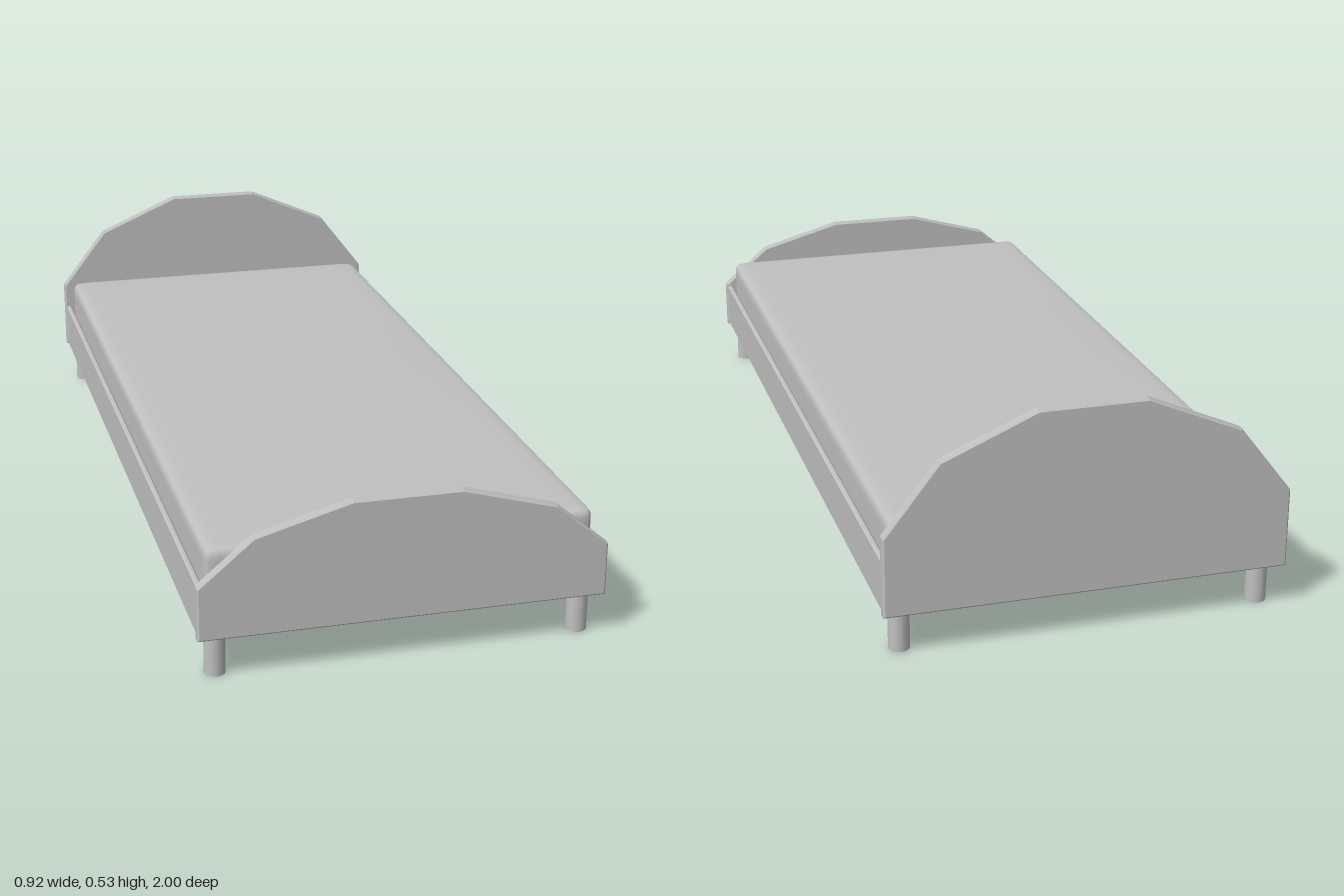
import * as THREE from 'three';
import { mergeVertices, toCreasedNormals } from 'three/addons/utils/BufferGeometryUtils.js';

const grey = new THREE.MeshStandardMaterial({ color: 0xc0c0c0 });
grey.name = 'grey';

function add(group, name, geometry, x = 0, y = 0, z = 0) {
  const mesh = new THREE.Mesh(geometry, grey);
  mesh.name = name;
  mesh.position.set(x, y, z);
  group.add(mesh);
  return mesh;
}

// Faceted arched panel with a small chamfer; half outline mirrored in x
function panelGeometry(half, depth) {
  const bevel = 0.004;
  const points = [...half, ...half.map(([x, y]) => [-x, y]).reverse()]
    .map(([x, y]) => new THREE.Vector2(x, y));
  const geometry = new THREE.ExtrudeGeometry(new THREE.Shape(points), {
    depth: depth - 2 * bevel, bevelEnabled: true, bevelSegments: 1,
    bevelSize: bevel, bevelThickness: bevel, bevelOffset: -bevel,
  });
  geometry.translate(0, 0, bevel);
  return toCreasedNormals(geometry, 0.1);
}

// Side board with chamfered long edges, extruded along z
function railGeometry(width, height, length) {
  const w = width / 2, h = height / 2, c = 0.004;
  const shape = new THREE.Shape([
    [w, -h + c], [w, h - c], [w - c, h], [-w + c, h],
    [-w, h - c], [-w, -h + c], [-w + c, -h], [w - c, -h],
  ].map(([x, y]) => new THREE.Vector2(x, y)));
  const geometry = new THREE.ExtrudeGeometry(shape, { depth: length, bevelEnabled: false });
  return geometry.translate(0, 0, -length / 2);
}

// Soft block: rounded edges and a gently domed top
function mattressGeometry(width, height, length, radius) {
  let geometry = new THREE.BoxGeometry(2, 2, 2, 20, 16, 28);
  geometry.deleteAttribute('normal');
  geometry.deleteAttribute('uv');
  geometry = mergeVertices(geometry);
  const half = new THREE.Vector3(width / 2, height / 2, length / 2);
  const inner = half.clone().subScalar(radius);
  const position = geometry.attributes.position;
  const p = new THREE.Vector3(), core = new THREE.Vector3();
  const crowd = (u) => Math.sign(u) * (1 - (1 - Math.abs(u)) ** 2.2);
  for (let i = 0; i < position.count; i++) {
    p.fromBufferAttribute(position, i);
    p.set(crowd(p.x), crowd(p.y), crowd(p.z)).multiply(half);
    core.copy(p).clamp(inner.clone().negate(), inner);
    p.sub(core);
    if (p.lengthSq() > 0) p.setLength(radius);
    p.add(core);
    if (p.y > 0) {
      const dome = (1 - (p.x / half.x) ** 2) * (1 - (p.z / half.z) ** 2);
      p.y += 0.007 * dome * (p.y / half.y);
    }
    position.setXYZ(i, p.x, p.y, p.z);
  }
  geometry.computeVertexNormals();
  return geometry;
}

export function createModel() {
  const bed = new THREE.Group();
  bed.name = 'bed';

  // End boards
  add(bed, 'headboard', panelGeometry(
    [[0.46, 0.1], [0.46, 0.284], [0.337, 0.442], [0.122, 0.534]], 0.025), 0, 0, -1);
  add(bed, 'footboard', panelGeometry(
    [[0.46, 0.1], [0.46, 0.224], [0.337, 0.328], [0.122, 0.388]], 0.025), 0, 0, 0.975);

  // Side rails and legs
  for (const side of [-1, 1]) {
    const word = side > 0 ? 'left' : 'right';
    add(bed, word + 'SideRail', railGeometry(0.014, 0.12, 1.95), side * 0.449, 0.16, 0);
    for (const [end, z] of [['Front', 0.95], ['Back', -0.945]]) {
      add(bed, word + end + 'Leg', new THREE.CylinderGeometry(0.024, 0.024, 0.112, 16),
        side * 0.414, 0.056, z);
    }
  }

  // Mattress
  add(bed, 'mattress', mattressGeometry(0.872, 0.168, 1.938, 0.022), 0, 0.212, -0.002);

  // Cross slats
  const slats = new THREE.Group();
  slats.name = 'slats';
  bed.add(slats);
  const count = 22, pitch = 0.0865;
  const slat = new THREE.BoxGeometry(0.884, 0.014, 0.06);
  for (let i = 0; i < count; i++) {
    add(slats, 'slat', slat, 0, 0.117, (i - (count - 1) / 2) * pitch);
  }
  return bed;
}
